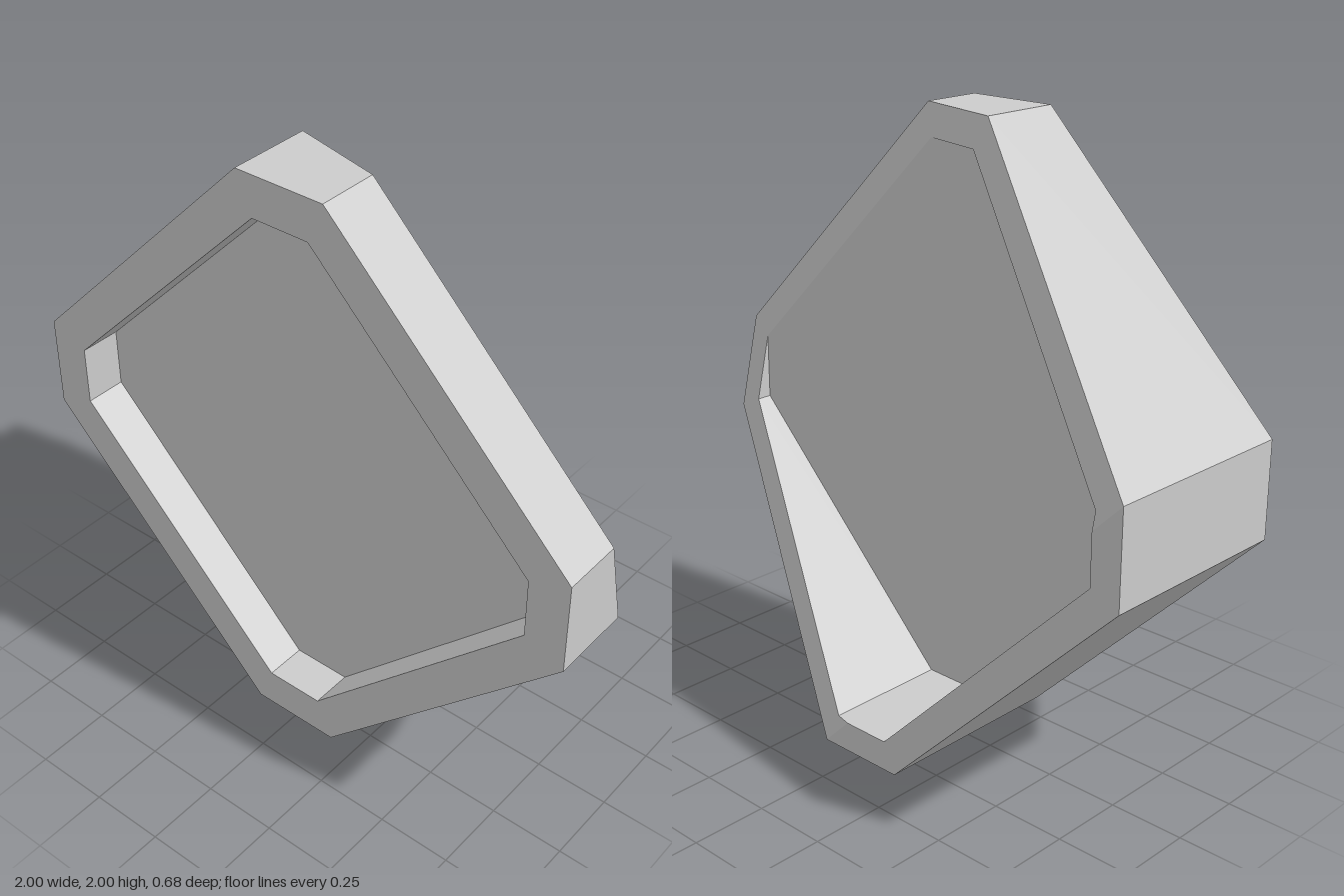
import * as THREE from 'three';

const FRONT = 0.34, BACK = -0.34, FRONT_FLOOR = 0.2;

// Eight corners, counter-clockwise; h = half size, c = half length of the short sides
const octagon = (h, c) => [
  [h, -c], [h, c], [c, h], [-c, h], [-h, c], [-h, -c], [-c, -h], [c, -h],
];

// Back surface: slopes along the diagonal, then runs flat at the lower corner
const CREASE = -0.845;
const backZ = (x, y) => BACK + Math.max(0, 0.2375 * (x + y - CREASE));
const flat = (z) => () => z;

// Flat face from an outline, with its z set by a rule
function plate(outline, hole, zRule, facesBack) {
  const toPoints = (list) => list.map(([x, y]) => new THREE.Vector2(x, y));
  const shape = new THREE.Shape(toPoints(outline));
  if (hole) shape.holes.push(new THREE.Path(toPoints(hole)));
  const geo = new THREE.ShapeGeometry(shape);
  const pos = geo.attributes.position;
  for (let i = 0; i < pos.count; i++) pos.setZ(i, zRule(pos.getX(i), pos.getY(i)));
  if (facesBack) {
    const idx = geo.index;
    for (let i = 0; i < idx.count; i += 3) {
      const a = idx.getX(i);
      idx.setX(i, idx.getX(i + 1));
      idx.setX(i + 1, a);
    }
  }
  geo.computeVertexNormals();
  return geo;
}

// Ring of walls between two z rules; a reversed loop faces inwards
function walls(loop, lowZ, highZ) {
  const v = [];
  loop.forEach(([x0, y0], i) => {
    const [x1, y1] = loop[(i + 1) % loop.length];
    const a = [x0, y0, lowZ(x0, y0)], b = [x1, y1, lowZ(x1, y1)];
    const c = [x1, y1, highZ(x1, y1)], d = [x0, y0, highZ(x0, y0)];
    v.push(...a, ...b, ...c, ...a, ...c, ...d);
  });
  const geo = new THREE.BufferGeometry();
  geo.setAttribute('position', new THREE.Float32BufferAttribute(v, 3));
  geo.computeVertexNormals();
  return geo;
}

export function createModel() {
  const group = new THREE.Group();
  const grey = new THREE.MeshStandardMaterial({ color: 0xcccccc, flatShading: true });
  grey.name = 'plain grey';
  const add = (name, geo) => {
    const mesh = new THREE.Mesh(geo, grey);
    mesh.name = name;
    mesh.position.y = 1;
    group.add(mesh);
  };

  const outer = octagon(1, 0.155);
  const frontHole = octagon(0.865, 0.1);
  const backHole = octagon(0.9, 0.11);
  const backFloor = backZ(0.9, 0.11);

  // Points where the crease crosses the back opening
  const creaseLeft = [-0.9, CREASE + 0.9], creaseBottom = [CREASE + 0.9, -0.9];
  const backLoop = [
    ...backHole.slice(0, 5), creaseLeft, ...backHole.slice(5, 7), creaseBottom, backHole[7],
  ];

  add('outerSides', walls(outer, backZ, flat(FRONT)));

  // Front rim and shallow tray
  add('frontRim', plate(outer, frontHole, flat(FRONT), false));
  add('frontTrayWalls', walls([...frontHole].reverse(), flat(FRONT_FLOOR), flat(FRONT)));
  add('frontTrayFloor', plate(frontHole, null, flat(FRONT_FLOOR), false));

  // Back rim: a sloped part around most of the opening and a flat foot
  add('backSlopedRim', plate([
    outer[7], ...outer.slice(0, 5),
    creaseLeft, ...backHole.slice(0, 5).reverse(), backHole[7], creaseBottom,
  ], null, backZ, true));
  add('backFlatRim', plate([
    outer[4], outer[5], outer[6], outer[7],
    creaseBottom, backHole[6], backHole[5], creaseLeft,
  ], null, flat(BACK), true));

  // Deep back recess
  add('backRecessWalls', walls([...backLoop].reverse(), backZ, flat(backFloor)));
  add('backRecessFloor', plate(backHole, null, flat(backFloor), true));

  return group;
}
